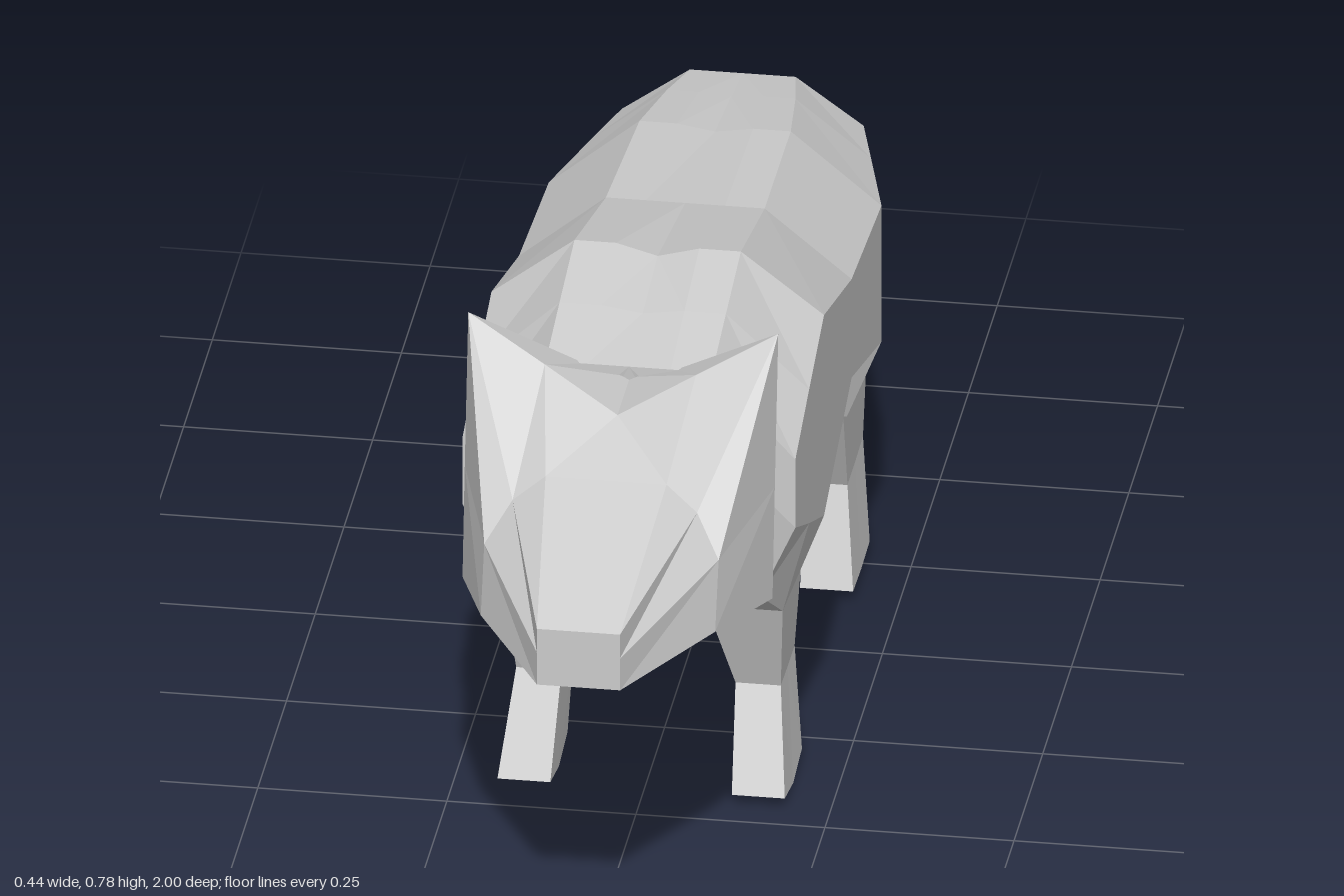
import * as THREE from 'three';

const grey = new THREE.MeshStandardMaterial({ color: 0xcccccc, flatShading: true });
grey.name = 'light grey';

// Skins a row of equal-length rings and closes both ends; flat facets.
function loft(name, rings) {
  const pos = [];
  const tri = (...pts) => pts.forEach((p) => pos.push(...p));
  const n = rings[0].length;
  for (let r = 0; r < rings.length - 1; r++) {
    const a = rings[r], b = rings[r + 1];
    for (let i = 0; i < n; i++) {
      const j = (i + 1) % n;
      if (i < n / 2) {
        tri(a[i], a[j], b[i]);
        tri(a[j], b[j], b[i]);
      } else { // mirrored diagonal keeps left and right alike
        tri(a[i], a[j], b[j]);
        tri(a[i], b[j], b[i]);
      }
    }
  }
  const first = rings[0], last = rings[rings.length - 1];
  for (let i = 1; i < n - 1; i++) {
    tri(first[0], first[i + 1], first[i]);
    tri(last[0], last[i], last[i + 1]);
  }
  const geo = new THREE.BufferGeometry();
  geo.setAttribute('position', new THREE.Float32BufferAttribute(pos, 3));
  geo.computeVertexNormals();
  const mesh = new THREE.Mesh(geo, grey);
  mesh.name = name;
  return mesh;
}

const flip = ([x, y, z]) => [-x, y, z];
// Completes a half ring running from top centre to bottom centre.
const mirrorRing = (half) => [...half, ...half.slice(1, -1).reverse().map(flip)];

// Body section: z upper, z lower, half width, back half width, back y, shoulder y,
// flank y, then the underside's outer and inner points and the belly height.
function section(z, zLow, w, wTop, top, dip, shoulder, flank, outer, inner, belly) {
  return mirrorRing([
    [0, top - dip, z], [wTop / 2, top, z], [wTop, top, z], [w, shoulder, z], [w, flank, z],
    [outer[0], outer[1], zLow], [inner[0], inner[1], zLow], [0, belly, zLow],
  ]);
}

function makeBody() {
  const hip = [0.185, 0.283], groin = [0.083, 0.283];
  return loft('body', [
    section(0.56, 0.54, 0.22, 0.11, 0.69, 0, 0.57, 0.47, [0.17, 0.355], [0.08, 0.355], 0.355),
    section(0.44, 0.44, 0.22, 0.11, 0.715, 0.008, 0.612, 0.415, hip, groin, 0.355),
    section(0.31, 0.27, 0.22, 0.11, 0.74, 0.015, 0.655, 0.36, hip, groin, 0.355),
    section(0.07, 0.07, 0.22, 0.105, 0.68, 0, 0.585, 0.44, [0.11, 0.36], [0.05, 0.36], 0.36),
    section(-0.19, -0.12, 0.22, 0.10, 0.66, 0.008, 0.56, 0.36, hip, groin, 0.355),
    section(-0.33, -0.33, 0.185, 0.085, 0.635, 0.003, 0.555, 0.357, [0.175, 0.283], groin, 0.355),
    section(-0.43, -0.43, 0.16, 0.07, 0.615, 0, 0.55, 0.37, [0.15, 0.36], [0.07, 0.36], 0.36),
  ]);
}

// Head with pointed ears drawn out of the rim behind the face.
function makeHead() {
  return loft('head', [
    [[0, 0.525, 1], [0.03, 0.525, 1], [0.055, 0.525, 1], [0.055, 0.49, 1], [0.055, 0.443, 1], [0, 0.443, 1]],
    [[0, 0.625, 0.76], [0.08, 0.625, 0.76], [0.122, 0.592, 0.77], [0.155, 0.54, 0.8], [0.155, 0.45, 0.83], [0, 0.45, 0.83]],
    [[0, 0.67, 0.66], [0.1, 0.724, 0.635], [0.205, 0.78, 0.61], [0.205, 0.57, 0.64], [0.205, 0.416, 0.66], [0, 0.416, 0.66]],
    [[0, 0.67, 0.55], [0.06, 0.685, 0.55], [0.1, 0.685, 0.55], [0.11, 0.57, 0.55], [0.11, 0.465, 0.55], [0, 0.465, 0.55]],
  ].map(mirrorRing));
}

// Tail stations: top z, y, half width and bottom z, y, half width.
function makeTail() {
  return loft('tail', [
    [-0.42, 0.615, 0.07, -0.42, 0.43, 0.07],
    [-0.66, 0.41, 0.11, -0.55, 0.28, 0.105],
    [-0.83, 0.26, 0.06, -0.8, 0.135, 0.06],
    [-1, 0.23, 0.028, -0.97, 0.13, 0.028],
  ].map(([zt, yt, wt, zb, yb, wb]) => mirrorRing([
    [0, yt, zt], [wt, yt, zt], [wb, yb, zb], [0, yb, zb],
  ])));
}

// Leg stations: inner x, outer x, back z, front z, back y, middle y, front y.
function makeLeg(name, side, stations) {
  return loft(name, stations.map(([xi, xo, zb, zf, yb, ym, yf]) => {
    const zm = (zb + zf) / 2;
    const ring = [
      [xi, yb, zb], [xo, yb, zb], [xo, ym, zm], [xo, yf, zf], [xi, yf, zf], [xi, ym, zm],
    ];
    return side > 0 ? ring : ring.map(flip).reverse();
  }));
}

export function createModel() {
  const model = new THREE.Group();
  model.name = 'fox';
  model.add(makeBody(), makeHead(), makeTail());

  for (const [label, side] of [['Left', 1], ['Right', -1]]) {
    model.add(makeLeg('front' + label + 'Leg', side, [
      [0.083, 0.185, 0.27, 0.44, 0.285, 0.285, 0.285],
      [0.115, 0.175, 0.27, 0.39, 0.145, 0.145, 0.147],
      [0.12, 0.19, 0.305, 0.455, 0.012, 0, 0.015],
    ]));
    model.add(makeLeg('hind' + label + 'Leg', side, [
      [0.083, 0.18, -0.33, -0.12, 0.285, 0.285, 0.285],
      [0.115, 0.175, -0.325, -0.19, 0.148, 0.145, 0.145],
      [0.12, 0.19, -0.285, -0.14, 0.015, 0.012, 0.015],
    ]));
  }
  return model;
}
